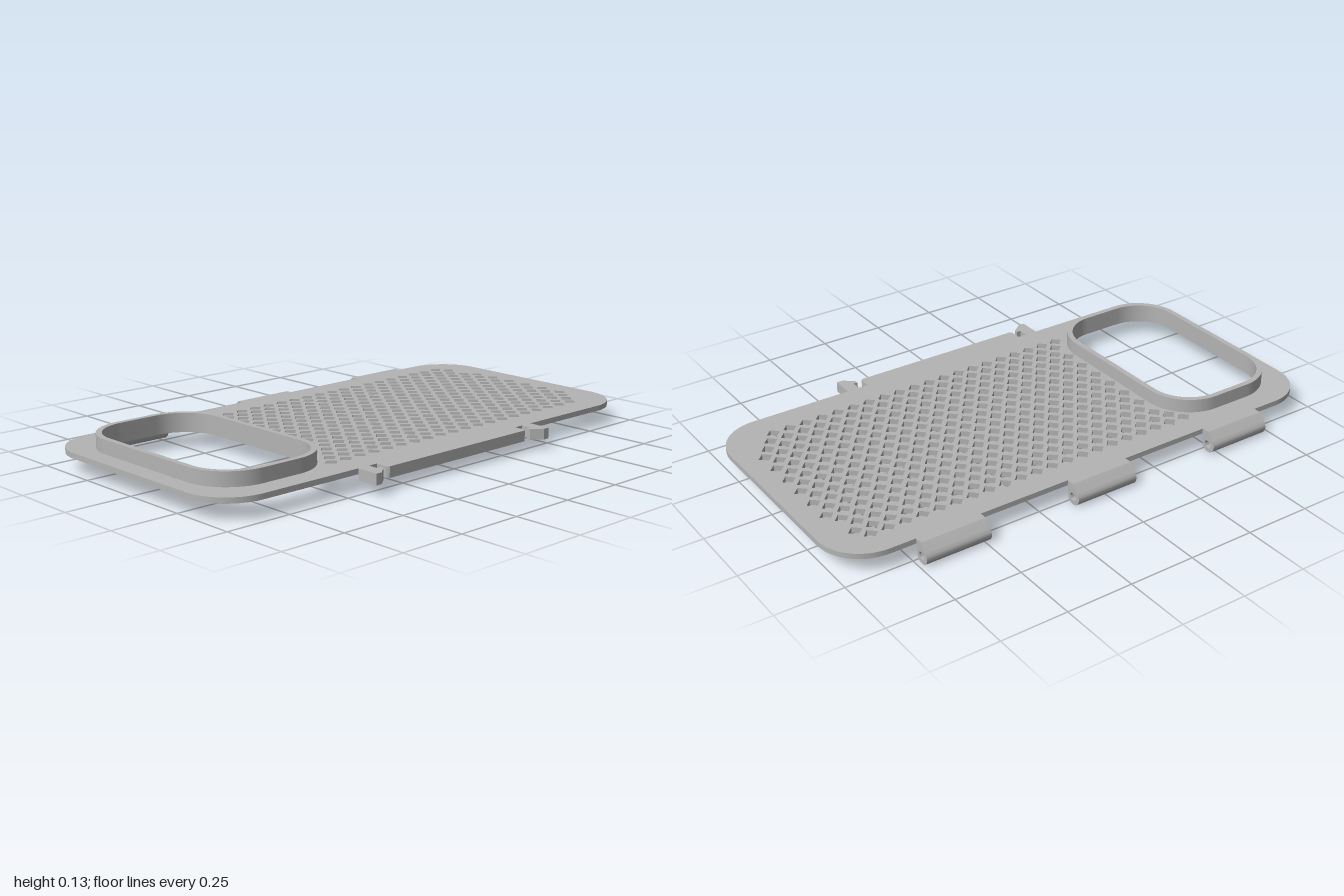
import * as THREE from 'three';
import { toCreasedNormals } from 'three/addons/utils/BufferGeometryUtils.js';

const gray = new THREE.MeshStandardMaterial({ color: 0xb4b4b4 });
gray.name = 'gray plastic';

// Rounded rectangle in plan; shape y equals -z
function roundedRect(Type, x0, x1, z0, z1, r) {
  const s = new Type();
  const y0 = -z1, y1 = -z0;
  s.moveTo(x0 + r, y0);
  s.lineTo(x1 - r, y0);
  s.absarc(x1 - r, y0 + r, r, -Math.PI / 2, 0);
  s.lineTo(x1, y1 - r);
  s.absarc(x1 - r, y1 - r, r, 0, Math.PI / 2);
  s.lineTo(x0 + r, y1);
  s.absarc(x0 + r, y1 - r, r, Math.PI / 2, Math.PI);
  s.lineTo(x0, y0 + r);
  s.absarc(x0 + r, y0 + r, r, Math.PI, Math.PI * 1.5);
  return s;
}

function polygon(points) {
  return new THREE.Shape(points.map(([x, z]) => new THREE.Vector2(x, -z)));
}

function extrude(shape, depth) {
  const g = new THREE.ExtrudeGeometry(shape, { depth, bevelEnabled: false, curveSegments: 12 });
  return toCreasedNormals(g, 0.5);
}

// Extrudes a plan shape upwards from y0 to y1
function slab(name, shape, y0, y1) {
  const g = extrude(shape, y1 - y0).rotateX(-Math.PI / 2).translate(0, y0, 0);
  const mesh = new THREE.Mesh(g, gray);
  mesh.name = name;
  return mesh;
}

// Staggered lattice of diamond holes, trimmed at the corners and around the collar
function diamondHoles() {
  const holes = [], h = 0.026;
  for (let i = 0; i < 18; i++) {
    const odd = i % 2;
    const first = [0, 2, 16, 17].includes(i) ? 1 : 0;
    let last = odd ? 19 : 20;
    if (i === 0 || i === 1 || i === 17) last++;
    for (let k = first; k <= last; k++) {
      const x = -0.392 + i * 0.0439;
      const z = -0.905 + (k + odd / 2) * 0.0656;
      holes.push(polygon([[x - h, z], [x, z - h], [x + h, z], [x, z + h]]));
    }
  }
  return holes;
}

// Hinge knuckle profile with a teardrop pin hole
function hingeShape() {
  const cx = -0.53, cy = 0.031, r = 0.031, q = 0.016;
  const s = new THREE.Shape();
  s.moveTo(-0.497, 0.08);
  s.lineTo(-0.526, 0.08);
  s.absarc(cx, cy, r, Math.PI * 0.75, Math.PI * 2);
  s.lineTo(-0.497, 0.06);
  s.closePath();
  const hole = new THREE.Path();
  hole.moveTo(cx, cy + q * 1.35);
  hole.absarc(cx, cy, q, Math.PI * 0.75, Math.PI * 2.25);
  hole.closePath();
  s.holes.push(hole);
  return s;
}

export function createModel() {
  const model = new THREE.Group();
  model.name = 'ventedCover';
  const opening = () => roundedRect(THREE.Path, -0.39, 0.366, 0.458, 0.91, 0.15);

  // Perforated base plate
  const plate = roundedRect(THREE.Shape, -0.497, 0.471, -1, 1, 0.17);
  plate.holes.push(opening(), ...diamondHoles());
  model.add(slab('plate', plate, 0.06, 0.08));

  // Raised collar round the large opening
  const collar = roundedRect(THREE.Shape, -0.411, 0.387, 0.437, 0.931, 0.171);
  collar.holes.push(opening());
  model.add(slab('collar', collar, 0.08, 0.132));

  // Three hinge knuckles along the right side
  for (const z of [-0.733, -0.129, 0.474]) {
    const hinge = new THREE.Mesh(extrude(hingeShape(), 0.249).translate(0, 0, z), gray);
    hinge.name = 'hinge';
    model.add(hinge);
  }

  // Latch strip with slightly chamfered ends
  model.add(slab('latchStrip', polygon([
    [0.471, -0.352], [0.516, -0.352], [0.524, -0.344],
    [0.524, 0.335], [0.516, 0.343], [0.471, 0.343],
  ]), 0.04, 0.08));

  // Mirrored clip hooks beside the strip
  for (const side of [-1, 1]) {
    const pts = [
      [0.471, 0.432], [0.556, 0.432], [0.556, 0.408], [0.524, 0.368],
      [0.51, 0.368], [0.51, 0.384], [0.471, 0.384],
    ].map(([x, z]) => [x, side * z - 0.005]);
    model.add(slab('clipHook', polygon(pts), 0.04, 0.08));
  }
  return model;
}
